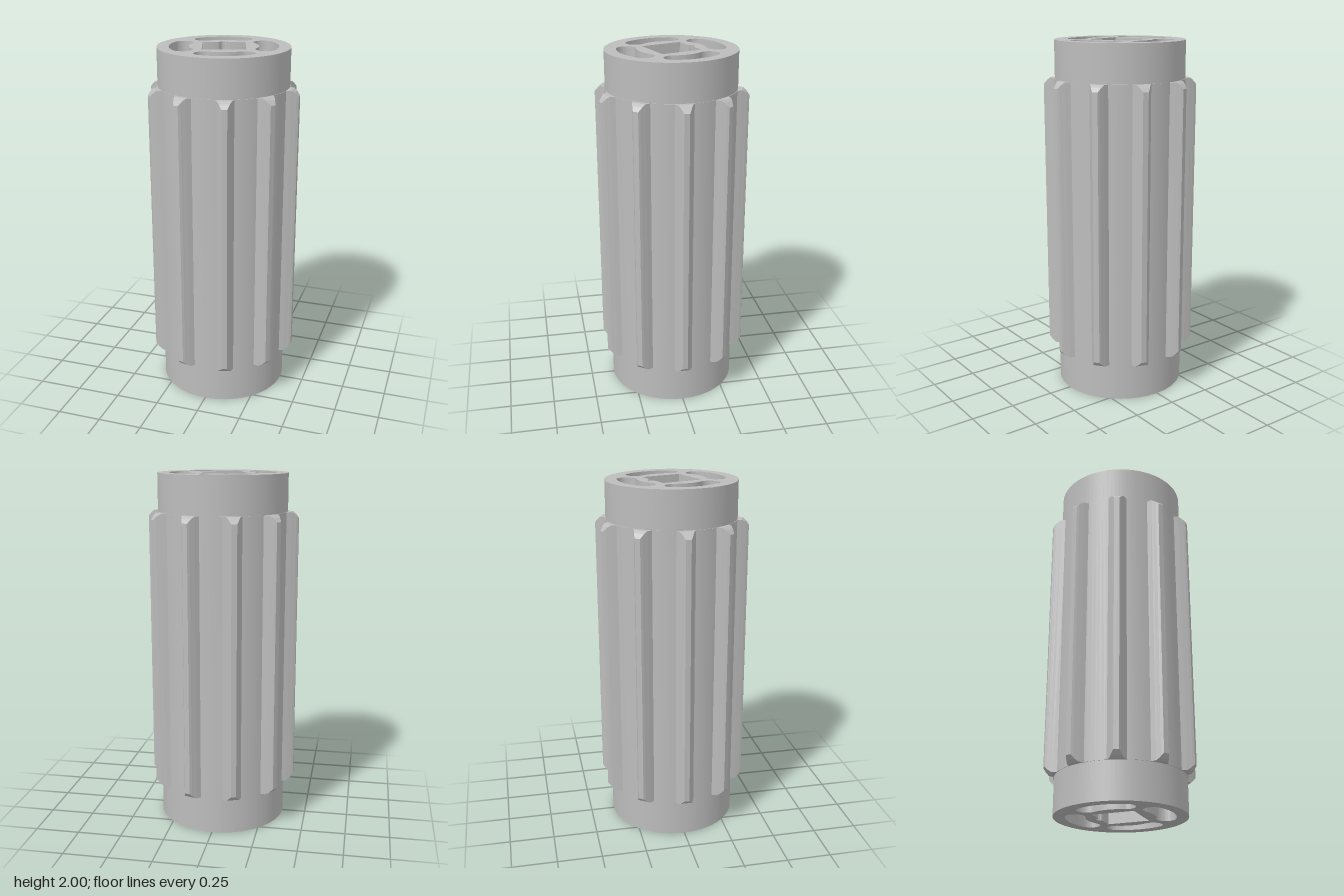
import * as THREE from 'three';
import { toCreasedNormals } from 'three/addons/utils/BufferGeometryUtils.js';

const DEG = Math.PI / 180;
const MID = 1, HALF = 0.79; // centre height and half length of the toothed section

// Curved slot following the barrel, with round ends
function slotHole(a0, a1, r, cap) {
  const p = new THREE.Path();
  p.absarc(0, 0, r + cap, a0, a1, false);
  p.absarc(r * Math.cos(a1), r * Math.sin(a1), cap, a1, a1 + Math.PI, false);
  p.absarc(0, 0, r - cap, a1, a0, true);
  p.absarc(r * Math.cos(a0), r * Math.sin(a0), cap, a0 + Math.PI, a0 + 2 * Math.PI, false);
  return p;
}

// Tilted square bore with a small round keyway in one side
function boreHole(s, tilt) {
  const pts = [[-s, -s], [s, -s], [s, s], [0.032, s], [0.027, s + 0.002]];
  for (let i = 0; i <= 16; i++) {
    const a = (10 + i * 10) * DEG;
    pts.push([0.023 * Math.cos(a), s + 0.002 + 0.023 * Math.sin(a)]);
  }
  pts.push([-0.027, s + 0.002], [-0.032, s], [-s, s]);
  const origin = new THREE.Vector2();
  return new THREE.Path(pts.map(([x, y]) => new THREE.Vector2(x, y).rotateAround(origin, tilt)));
}

// Tapered tooth pointing along +x, with bevelled ends
function toothGeometry() {
  // radius, half width, half length
  const sections = [
    [0.35, 0.058, HALF], [0.388, 0.0385, HALF], [0.405, 0.0285, HALF - 0.012],
    [0.413, 0.024, HALF - 0.021], [0.425, 0.015, HALF - 0.035],
  ];
  const pos = [];
  const quad = (a, b, c, d) => pos.push(...a, ...b, ...c, ...a, ...c, ...d);
  const at = ([r, w, h], sy, sz) => [r, MID + sy * h, sz * w];
  for (let i = 0; i < sections.length - 1; i++) {
    const p = sections[i], q = sections[i + 1];
    quad(at(p, -1, 1), at(q, -1, 1), at(q, 1, 1), at(p, 1, 1));
    quad(at(p, 1, -1), at(q, 1, -1), at(q, -1, -1), at(p, -1, -1));
    quad(at(p, 1, 1), at(q, 1, 1), at(q, 1, -1), at(p, 1, -1));
    quad(at(p, -1, -1), at(q, -1, -1), at(q, -1, 1), at(p, -1, 1));
  }
  const t = sections[sections.length - 1];
  quad(at(t, -1, 1), at(t, -1, -1), at(t, 1, -1), at(t, 1, 1));
  const g = new THREE.BufferGeometry();
  g.setAttribute('position', new THREE.Float32BufferAttribute(pos, 3));
  g.computeVertexNormals();
  return g;
}

export function createModel() {
  const model = new THREE.Group();
  model.name = 'toothedRoller';
  const grey = new THREE.MeshStandardMaterial({ color: 0xbcbcbc });
  grey.name = 'grey';

  const add = (geometry, name, parent = model) => {
    const mesh = new THREE.Mesh(geometry, grey);
    mesh.name = name;
    parent.add(mesh);
    return mesh;
  };

  // Barrel with through slots and bore
  const shape = new THREE.Shape();
  shape.absarc(0, 0, 0.363, 0, Math.PI * 2, false);
  for (let k = 0; k < 4; k++) {
    shape.holes.push(slotHole((-7.5 + 90 * k) * DEG, (44.5 + 90 * k) * DEG, 0.243, 0.054));
  }
  shape.holes.push(boreHole(0.1175, 18 * DEG));
  const barrel = new THREE.ExtrudeGeometry(shape, { depth: 2, bevelEnabled: false, curveSegments: 48 });
  barrel.rotateX(-Math.PI / 2);
  add(toCreasedNormals(barrel, 0.5), 'barrel');

  // Thin raised sleeve under the teeth
  const profile = [[0.36, MID - HALF], [0.366, MID - HALF], [0.366, MID + HALF], [0.36, MID + HALF]];
  const sleeve = new THREE.LatheGeometry(profile.map(([x, y]) => new THREE.Vector2(x, y)), 96);
  add(toCreasedNormals(sleeve, 0.5), 'sleeve');

  // Ring of teeth
  const teeth = new THREE.Group();
  teeth.name = 'teeth';
  model.add(teeth);
  const tooth = toothGeometry();
  for (let i = 0; i < 10; i++) {
    add(tooth, `tooth${i + 1}`, teeth).rotation.y = i * 36 * DEG;
  }
  return model;
}
